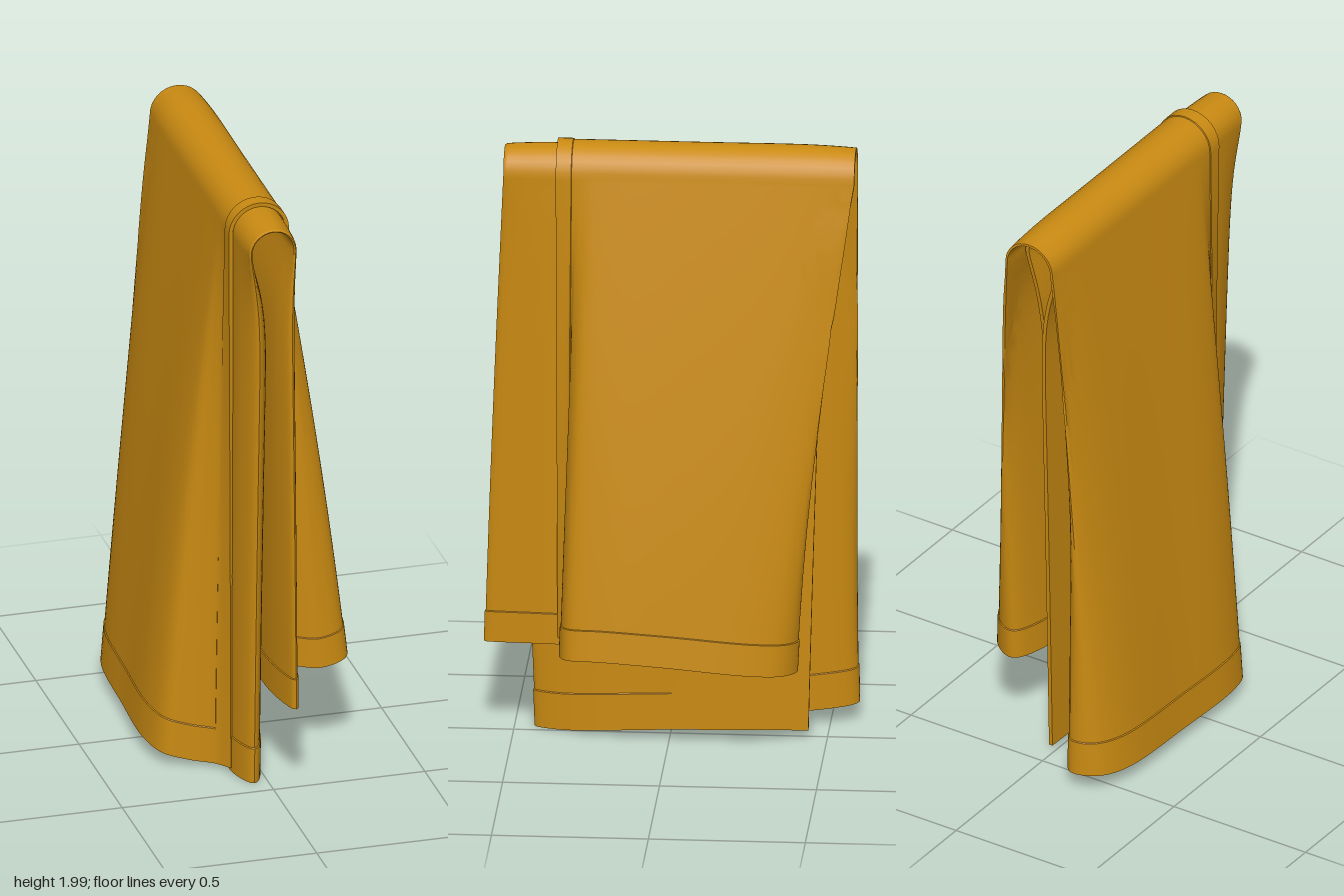
import * as THREE from 'three';
import { toCreasedNormals } from 'three/addons/utils/BufferGeometryUtils.js';

const CENTRE_X = -0.008, ARCH_Y = 1.903;

// Each section runs from the outer free edge, round the back fold, along the
// middle layer to the front fold, and back along the inner layer.
const curve = pts => new THREE.CatmullRomCurve3(pts.map(p => new THREE.Vector3(...p)));

// Over the rail: radius, z, and how far the layer flares outwards below (0..1)
const topSection = curve([
  [.093, .36, 1], [.093, .31, 1], [.093, .28, 1], [.093, .24, 1],
  [.093, .16, 1], [.093, -.1, 1], [.093, -.45, 1], [.087, -.58, 1],
  [.081, -.5, .6], [.08, -.25, 0], [.08, .1, 0], [.08, .42, 0],
  [.073, .525, 0], [.067, .45, 0], [.066, .05, 0], [.066, -.5, 0],
]);

// Lower ends on each side: x, y, z
const leftEnd = curve([
  [.08, .355, .35], [.12, .345, .31], [.2, .34, .335], [.285, .35, .31],
  [.312, .355, .2], [.308, .34, 0], [.285, .31, -.28], [.245, .3, -.375],
  [.17, .295, -.41], [.1, .3, -.2], [.07, .32, .1], [.075, .33, .4],
  [.05, .325, .585], [.02, .32, .45], [.018, .31, .1], [.022, .3, -.32],
]);
const rightEnd = curve([
  [-.09, .025, .335], [-.13, .025, .285], [-.2, .03, .25], [-.28, .05, .22],
  [-.313, .06, .12], [-.308, .06, -.15], [-.288, .065, -.47], [-.24, .07, -.56],
  [-.16, .07, -.58], [-.09, .05, -.3], [-.075, .025, .1], [-.085, .012, .34],
  [-.045, .01, .43], [-.005, .012, .34], [.005, .025, 0], [.008, .035, -.44],
]);

// Point on the cloth: t across the folds; v in -1..1 over the rail, beyond it down a side
function clothPoint(t, v) {
  t = THREE.MathUtils.clamp(t, 0, 1);
  const top = topSection.getPoint(t);
  const angle = THREE.MathUtils.clamp(v, -1, 1) * Math.PI / 2;
  const start = new THREE.Vector3(
    CENTRE_X + top.x * Math.sin(angle), ARCH_Y + top.x * Math.cos(angle), top.y);
  const f = Math.max(0, Math.abs(v) - 1);
  if (f === 0) return start;
  const end = (v > 0 ? leftEnd : rightEnd).getPoint(t);
  const flare = 1.25 * f - 0.25 * f * f;
  const pinch = 1 - Math.exp(-Math.pow(f * 11, 1.5));
  return new THREE.Vector3(
    THREE.MathUtils.lerp(start.x, end.x, THREE.MathUtils.lerp(pinch, flare, top.z)),
    THREE.MathUtils.lerp(start.y, end.y, f),
    THREE.MathUtils.lerp(start.z, end.z, flare));
}

function clothGeometry() {
  const GAP = 0.0015, SIDE_HEM = 1 / 15, END_HEM = 0.935;
  // Samples across and along, with a tight pair at each hem line
  const across = [SIDE_HEM - GAP, SIDE_HEM + GAP, 1 - SIDE_HEM - GAP, 1 - SIDE_HEM + GAP];
  for (let i = 0; i <= 120; i++) {
    if (i !== 8 && i !== 112) across.push(i / 120);
  }
  const along = [];
  for (let i = -8; i <= 8; i++) along.push(i / 8);
  for (const side of [-1, 1]) {
    for (let i = 1; i <= 30; i++) along.push(side * (1 + Math.pow(i / 30, 1.6)));
    along.push(side * (1 + END_HEM - GAP / 2), side * (1 + END_HEM + GAP / 2));
  }
  across.sort((a, b) => a - b);
  along.sort((a, b) => a - b);

  const nu = across.length, nv = along.length, count = nu * nv;
  const pos = new Float32Array(count * 6), index = [];
  const at = (i, j) => j * nu + i;
  const e = 0.002;
  along.forEach((v, j) => across.forEach((t, i) => {
    const p = clothPoint(t, v);
    const du = clothPoint(t + e, v).sub(clothPoint(t - e, v));
    const dv = clothPoint(t, Math.min(2, v + e)).sub(clothPoint(t, Math.max(-2, v - e)));
    const n = du.cross(dv).normalize();
    const hem = t < SIDE_HEM || t > 1 - SIDE_HEM || Math.abs(v) > 1 + END_HEM;
    const half = hem ? 0.0065 : 0.0035;
    p.clone().addScaledVector(n, half).toArray(pos, at(i, j) * 3);
    p.clone().addScaledVector(n, -half).toArray(pos, (count + at(i, j)) * 3);
  }));

  // Two faces of the cloth
  for (let j = 0; j < nv - 1; j++) {
    for (let i = 0; i < nu - 1; i++) {
      const a = at(i, j), b = at(i + 1, j), c = at(i + 1, j + 1), d = at(i, j + 1);
      index.push(a, b, c, a, c, d);
      index.push(count + a, count + c, count + b, count + a, count + d, count + c);
    }
  }
  // Rim round all four edges
  const ring = [];
  for (let i = 0; i < nu - 1; i++) ring.push(at(i, 0));
  for (let j = 0; j < nv - 1; j++) ring.push(at(nu - 1, j));
  for (let i = nu - 1; i > 0; i--) ring.push(at(i, nv - 1));
  for (let j = nv - 1; j > 0; j--) ring.push(at(0, j));
  ring.forEach((p, k) => {
    const q = ring[(k + 1) % ring.length];
    index.push(count + p, count + q, q, count + p, q, p);
  });

  const geometry = new THREE.BufferGeometry();
  geometry.setAttribute('position', new THREE.BufferAttribute(pos, 3));
  geometry.setIndex(index);
  return toCreasedNormals(geometry, 0.6);
}

export function createModel() {
  const group = new THREE.Group();
  group.name = 'hangingTowel';
  const material = new THREE.MeshStandardMaterial({ color: 0xc98a12, side: THREE.DoubleSide });
  material.name = 'ochre cloth';
  const towel = new THREE.Mesh(clothGeometry(), material);
  towel.name = 'foldedTowel';
  group.add(towel);
  return group;
}
